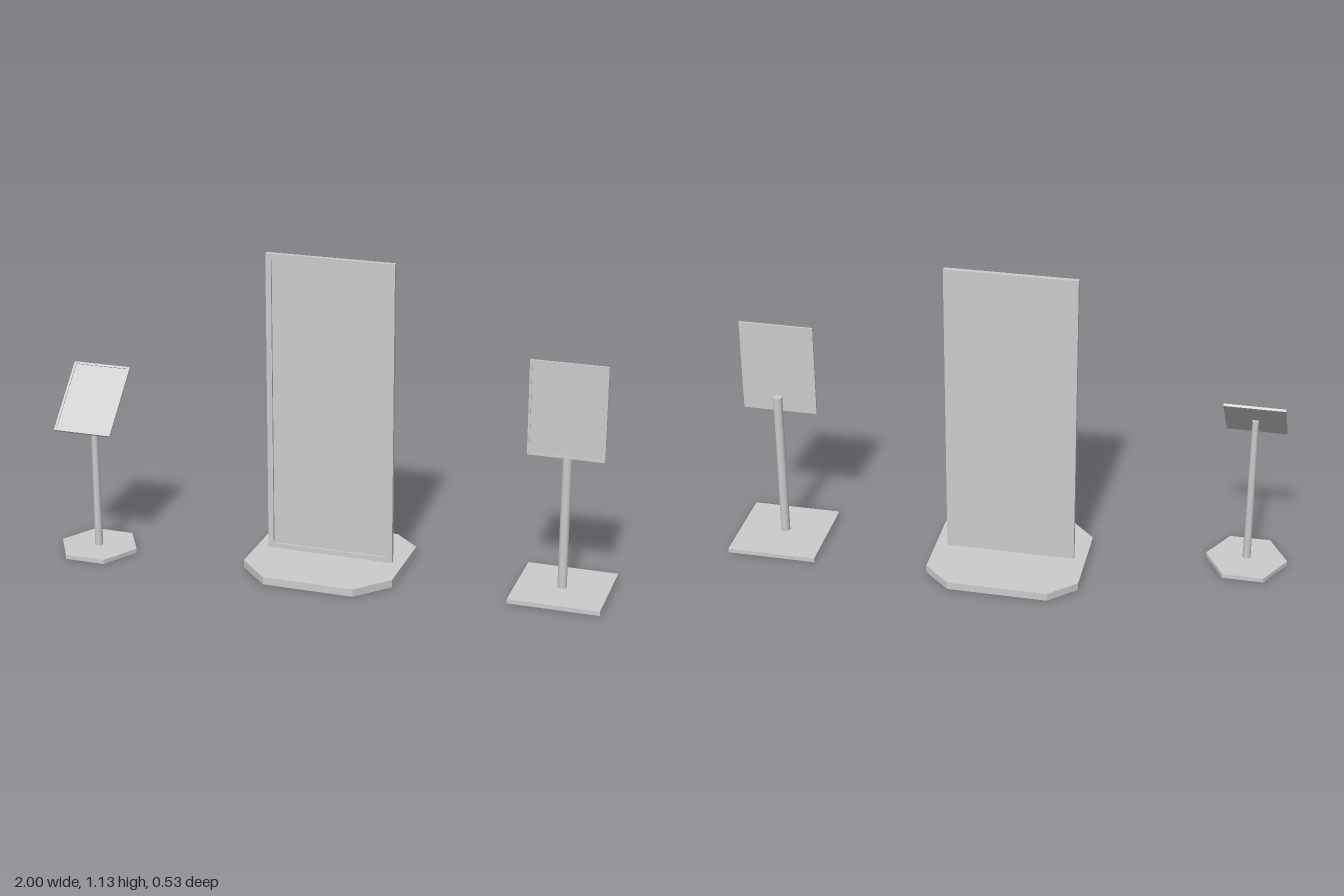
import * as THREE from 'three';

const material = new THREE.MeshStandardMaterial({ color: 0xcccccc, flatShading: true });
const smooth = new THREE.MeshStandardMaterial({ color: 0xcccccc });

function add(parent, name, geometry, x, y, z, mat = material) {
  const mesh = new THREE.Mesh(geometry, mat);
  mesh.name = name;
  mesh.position.set(x, y, z);
  parent.add(mesh);
  return mesh;
}

// Flat slab from a plan outline of [x, z] points, standing on y = 0
function slab(points, height) {
  const shape = new THREE.Shape(points.map(([x, z]) => new THREE.Vector2(x, -z)));
  return new THREE.ExtrudeGeometry(shape, { depth: height, bevelEnabled: false }).rotateX(-Math.PI / 2);
}

// Framed board centred on its origin and facing +z, its panel set back behind the rim
function framedBoard(name, w, h, depth, rim, recess) {
  const board = new THREE.Group();
  board.name = name;
  const rect = (Type, a, b) => new Type([[-a, -b], [a, -b], [a, b], [-a, b]]
    .map(([x, y]) => new THREE.Vector2(x / 2, y / 2)));
  const outline = rect(THREE.Shape, w, h);
  outline.holes.push(rect(THREE.Path, w - 2 * rim, h - 2 * rim));
  add(board, 'frame', new THREE.ExtrudeGeometry(outline, { depth, bevelEnabled: false }), 0, 0, -depth / 2);
  const thick = depth - recess;
  add(board, 'panel', new THREE.BoxGeometry(w - 2 * rim, h - 2 * rim, thick), 0, 0, -recess / 2);
  return board;
}

export function createModel() {
  const model = new THREE.Group();
  model.name = 'displayStands';

  // Large floor board on an octagonal base
  const large = new THREE.Group();
  large.name = 'largeStand';
  add(large, 'octagonBase', slab([
    [-0.29, 0.13], [-0.175, 0.248], [0.155, 0.248], [0.263, 0.13],
    [0.263, -0.178], [0.165, -0.268], [-0.195, -0.268], [-0.29, -0.178],
  ], 0.028), 0, 0, 0);
  const largeBoard = framedBoard('largeBoard', 0.467, 1.104, 0.017, 0.02, 0.008);
  largeBoard.position.set(-0.013, 0.578, -0.018);
  large.add(largeBoard);

  // Upright sign on a square base
  const upright = new THREE.Group();
  upright.name = 'uprightSign';
  add(upright, 'squareBase', new THREE.BoxGeometry(0.325, 0.016, 0.33), 0.8375, 0.008, -0.033);
  add(upright, 'post', new THREE.CylinderGeometry(0.0165, 0.0165, 0.555, 20), 0.835, 0.2925, -0.026, smooth);
  const signBoard = framedBoard('signBoard', 0.27, 0.34, 0.008, 0.008, 0.003);
  signBoard.position.set(0.835, 0.675, -0.001);
  upright.add(signBoard);

  // Tilted sign on a hexagonal base
  const tilted = new THREE.Group();
  tilted.name = 'tiltedSign';
  const hexagon = Array.from({ length: 6 }, (_, i) => {
    const a = -i * Math.PI / 3;
    return [0.147 * Math.cos(a), 0.13 / Math.sin(Math.PI / 3) * Math.sin(a)];
  });
  add(tilted, 'hexagonBase', slab(hexagon, 0.016), -0.853, 0, 0.133);
  add(tilted, 'post', new THREE.CylinderGeometry(0.0115, 0.0145, 0.565, 12), -0.853, 0.2955, 0.136, smooth);
  const tiltedBoard = framedBoard('tiltedBoard', 0.215, 0.276, 0.009, 0.008, 0.003);
  tiltedBoard.position.set(-0.853, 0.581, 0.143);
  tiltedBoard.rotation.x = -Math.PI / 4;
  tilted.add(tiltedBoard);

  model.add(large, upright, tilted);
  return model;
}
